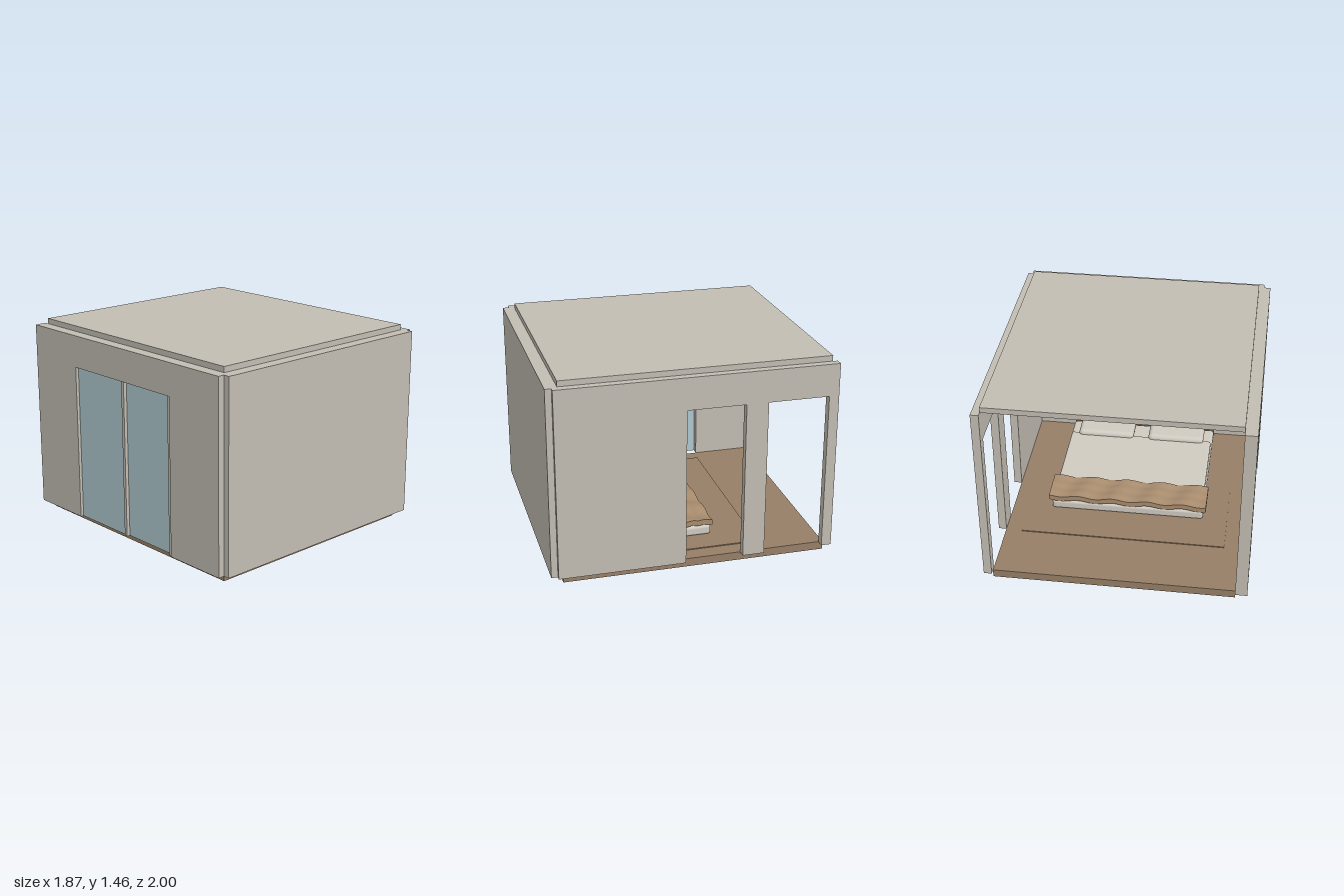
import * as THREE from 'three';
import { RoundedBoxGeometry } from 'three/addons/geometries/RoundedBoxGeometry.js';

const mat = (name, color, side = THREE.FrontSide) => {
  const m = new THREE.MeshStandardMaterial({ color, side });
  m.name = name;
  return m;
};

export function createModel() {
  const wall = mat('wallPlaster', 0xc2bdb3);
  const wood = mat('floorWood', 0x977f67);
  const glass = mat('paleGlass', 0xb0c9d0);
  const linen = mat('linen', 0xd0cbc1);
  const throwCloth = mat('throwCloth', 0xa88c6e);
  const cabinetWood = mat('cabinetWood', 0x8a6a50);

  const room = new THREE.Group();
  room.name = 'bedroom';

  const add = (name, geometry, material, parent = room) => {
    const mesh = new THREE.Mesh(geometry, material);
    mesh.name = name;
    parent.add(mesh);
    return mesh;
  };
  // Box given by its limits on each axis; a radius rounds its edges
  const box = (name, [x0, x1], [y0, y1], [z0, z1], material, parent, radius = 0) => {
    const size = [x1 - x0, y1 - y0, z1 - z0];
    const g = radius ? new RoundedBoxGeometry(...size, 4, radius) : new THREE.BoxGeometry(...size);
    g.translate((x0 + x1) / 2, (y0 + y1) / 2, (z0 + z1) / 2);
    return add(name, g, material, parent);
  };
  // Side wall in the z-y plane with openings that reach its bottom edge
  const sideWall = (name, [x0, x1], openings) => {
    const y0 = 0.06, y1 = 1.42, head = 1.19;
    const s = new THREE.Shape();
    s.moveTo(-0.955, y0);
    for (const [front, back] of openings) {
      s.lineTo(-front, y0);
      s.lineTo(-front, head);
      s.lineTo(-back, head);
      s.lineTo(-back, y0);
    }
    s.lineTo(1, y0);
    s.lineTo(1, y1);
    s.lineTo(-0.955, y1);
    const g = new THREE.ExtrudeGeometry(s, { depth: x1 - x0, bevelEnabled: false });
    g.rotateY(Math.PI / 2);
    g.translate(x0, 0, 0);
    return add(name, g, wall);
  };

  // Shell, open at the back
  box('floor', [-0.85, 0.875], [0, 0.06], [-0.96, 0.915], wood);
  box('roof', [-0.85, 0.875], [1.42, 1.46], [-0.965, 0.915], wall);
  box('frontWall', [-0.89, 0.9], [0.06, 1.42], [0.915, 1], wall);
  sideWall('doorwayWall', [0.875, 0.932], [[0.065, -0.345], [-0.5, -0.93]]);
  sideWall('windowWall', [-0.935, -0.85], [[0.48, -0.53]]);

  // Sliding glass doors
  const doors = new THREE.Group();
  doors.name = 'slidingDoors';
  room.add(doors);
  box('glassPane', [-0.912, -0.904], [0.06, 1.19], [-0.53, -0.025], glass, doors);
  box('glassPane', [-0.9, -0.892], [0.06, 1.19], [-0.01, 0.45], glass, doors);
  box('middlePost', [-0.925, -0.88], [0.06, 1.19], [-0.03, -0.005], wall, doors);
  box('endPost', [-0.925, -0.88], [0.06, 1.19], [0.45, 0.48], wall, doors);

  // Rug
  box('rug', [-0.74, 0.757], [0.06, 0.067], [-0.51, 0.2], wood);

  // Bed with its head against the front wall
  const bed = new THREE.Group();
  bed.name = 'bed';
  room.add(bed);
  box('mattress', [-0.56, 0.58], [0.067, 0.142], [-0.22, 0.85], linen, bed, 0.022);
  box('duvet', [-0.55, 0.57], [0.13, 0.178], [0.0, 0.64], linen, bed, 0.016);
  for (const x of [-0.27, 0.29]) {
    box('pillow', [x - 0.22, x + 0.22], [0.14, 0.215], [0.6, 0.82], linen, bed, 0.034);
  }

  // Rippled throw across the foot of the bed
  const cloth = new THREE.BoxGeometry(1.18, 0.04, 0.25, 60, 2, 12);
  const p = cloth.attributes.position;
  for (let i = 0; i < p.count; i++) {
    const x = p.getX(i), z = p.getZ(i);
    p.setY(i, p.getY(i) + 0.009 * Math.sin(x * 24 + z * 9) + 0.003 * Math.sin(z * 70));
  }
  cloth.translate(0.01, 0.171, -0.1);
  cloth.computeVertexNormals();
  add('throwBlanket', cloth, throwCloth, bed);

  // Wall unit: side towers, headboard and overhead cabinets
  const unit = new THREE.Group();
  unit.name = 'wallUnit';
  room.add(unit);
  box('headboard', [-0.56, 0.58], [0.06, 0.8], [0.86, 0.915], cabinetWood, unit);
  box('overheadCabinet', [-0.85, 0.875], [0.8, 1.42], [0.62, 0.915], wall, unit);
  for (const [x0, x1] of [[-0.85, -0.56], [0.58, 0.875]]) {
    box('sideTower', [x0, x1], [0.19, 0.8], [0.81, 0.915], cabinetWood, unit);
    box('bedsideShelf', [x0 + 0.06, x1 - 0.06], [0.26, 0.285], [0.7, 0.81], wood, unit);
  }

  return room;
}
